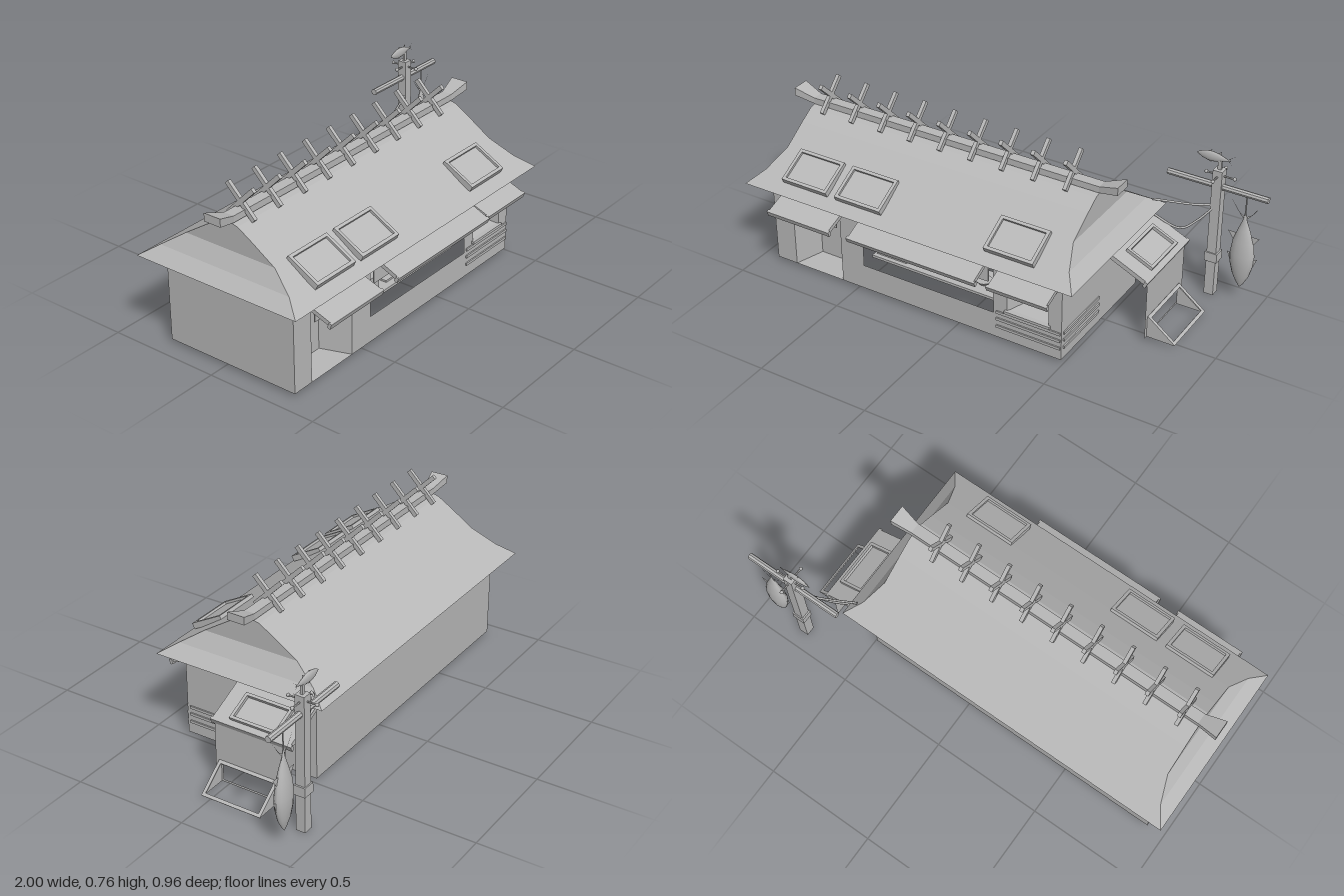
import * as THREE from 'three';

const grey = new THREE.MeshStandardMaterial({ color: 0xb8b8b8, side: THREE.DoubleSide, flatShading: true });
grey.name = 'plain grey';
const smooth = grey.clone();
smooth.flatShading = false;

const V = (x, y, z) => new THREE.Vector3(x, y, z);

function add(parent, name, geo, x = 0, y = 0, z = 0, mat = grey) {
  const m = new THREE.Mesh(geo, mat);
  m.name = name;
  m.position.set(x, y, z);
  parent.add(m);
  return m;
}

// Box given by its low and high limits
function box(parent, name, x0, x1, y0, y1, z0, z1) {
  return add(parent, name, new THREE.BoxGeometry(x1 - x0, y1 - y0, z1 - z0),
    (x0 + x1) / 2, (y0 + y1) / 2, (z0 + z1) / 2);
}

// Skin over a list of four-cornered sections, with optional end caps
function skin(rings, capStart, capEnd) {
  const pos = [];
  const quad = (a, b, c, d) => [a, b, c, a, c, d].forEach(p => pos.push(p.x, p.y, p.z));
  for (let i = 0; i < rings.length - 1; i++)
    for (let j = 0; j < 4; j++) {
      const k = (j + 1) % 4;
      quad(rings[i][j], rings[i][k], rings[i + 1][k], rings[i + 1][j]);
    }
  if (capStart) quad(...[...rings[0]].reverse());
  if (capEnd) quad(...rings[rings.length - 1]);
  const g = new THREE.BufferGeometry();
  g.setAttribute('position', new THREE.Float32BufferAttribute(pos, 3));
  g.computeVertexNormals();
  return g;
}

function polygon(points) {
  return new THREE.Shape(points.map(p => new THREE.Vector2(...p)));
}
const rect = (x0, x1, y0, y1) => [[x0, y0], [x1, y0], [x1, y1], [x0, y1]];

// Rectangular border centred on the origin, rising along +z
function frameGeo(w, h, border, depth) {
  const s = polygon(rect(-w / 2, w / 2, -h / 2, h / 2));
  s.holes.push(polygon(rect(-w / 2 + border, w / 2 - border, -h / 2 + border, h / 2 - border)));
  return new THREE.ExtrudeGeometry(s, { depth, bevelEnabled: false });
}

// Sloping slab from a wall (z0, y0) out to a lip (z1, y1)
function awning(parent, name, x0, x1, z0, y0, z1, y1, t = 0.018) {
  const g = new THREE.Group();
  g.name = name;
  g.position.set((x0 + x1) / 2, (y0 + y1) / 2, (z0 + z1) / 2);
  g.rotation.x = Math.atan2(y0 - y1, z1 - z0);
  const len = Math.hypot(z1 - z0, y1 - y0);
  add(g, name + 'Slab', new THREE.BoxGeometry(x1 - x0, t, len));
  add(g, name + 'Lip', new THREE.BoxGeometry(x1 - x0 + 0.012, t * 1.3, 0.014), 0, -0.003, len / 2 - 0.007);
  parent.add(g);
  return g;
}

function tube(parent, name, points, r) {
  add(parent, name, new THREE.TubeGeometry(new THREE.CatmullRomCurve3(points), 16, r, 6), 0, 0, 0, smooth);
}

// Fish standing nose down, unit length along y
function fish(parent, name, length, wide, thick) {
  const g = new THREE.Group();
  g.name = name;
  const profile = [[0, 0], [0.3, 0.06], [0.68, 0.17], [0.95, 0.32], [1, 0.45], [0.85, 0.62], [0.5, 0.78], [0.16, 0.92], [0.08, 1]];
  const body = add(g, name + 'Body', new THREE.LatheGeometry(profile.map(p => new THREE.Vector2(...p)), 14), 0, 0, 0, smooth);
  body.scale.set(wide, length, thick);
  const fin = (n, pts) => add(g, n, new THREE.ShapeGeometry(polygon(pts.map(([x, y]) => [x * wide, y * length]))));
  fin(name + 'Tail', [[0, 0.95], [0.5, 1.0], [1.2, 1.15], [0.7, 1.03], [0, 0.9], [-0.7, 1.03], [-1.2, 1.15], [-0.5, 1.0]]);
  for (const s of [-1, 1]) {
    fin(name + 'Fin', [[s * 0.75, 0.6], [s * 1.3, 0.72], [s * 0.6, 0.72]]);
    fin(name + 'SmallFin', [[s * 0.9, 0.3], [s * 1.25, 0.44], [s * 0.9, 0.42]]);
  }
  parent.add(g);
  return g;
}

function buildWalls(root) {
  const house = new THREE.Group();
  house.name = 'house';
  root.add(house);
  const L = -0.92, R = 0.49, F = 0.35, B = -0.28, lo = 0.015, hi = 0.44;
  // Front wall with doorway notch, counter opening and window
  const s = polygon([[L, lo], [-0.82, lo], [-0.82, 0.34], [-0.575, 0.34], [-0.575, lo], [R, lo], [R, hi], [L, hi]]);
  s.holes.push(polygon(rect(-0.46, 0.175, 0.13, 0.39)), polygon(rect(0.24, 0.43, 0.16, 0.32)));
  add(house, 'frontWall', new THREE.ShapeGeometry(s), 0, 0, F);
  const back = add(house, 'backWall', new THREE.PlaneGeometry(R - L, hi - lo), (L + R) / 2, (lo + hi) / 2, B);
  back.rotation.y = Math.PI;
  for (const [n, x, a] of [['leftSideWall', R, 1], ['rightSideWall', L, -1]])
    add(house, n, new THREE.PlaneGeometry(F - B, hi - lo), x, (lo + hi) / 2, (F + B) / 2).rotation.y = a * Math.PI / 2;

  // Recesses behind the doorway and the window
  const ring = (x0, x1, y0, y1, z) => [V(x0, y0, z), V(x0, y1, z), V(x1, y1, z), V(x1, y0, z)];
  add(house, 'doorRecess', skin([ring(-0.82, -0.575, lo, 0.34, F), ring(-0.78, -0.62, lo, 0.33, 0.22)], false, true).scale(1, 1, 1));
  add(house, 'windowRecess', skin([ring(0.24, 0.43, 0.16, 0.32, F), ring(0.28, 0.42, 0.17, 0.31, 0.27)], false, true));
  box(house, 'windowSill', 0.23, 0.44, 0.15, 0.162, 0.34, 0.362);

  // Cloth panels
  for (let i = 0; i < 5; i++) box(house, 'counterCurtain', -0.445 + i * 0.121, -0.328 + i * 0.121, 0.275, 0.345, 0.352, 0.357);
  for (let i = 0; i < 3; i++) box(house, 'doorCurtain', -0.805 + i * 0.073, -0.735 + i * 0.073, 0.275, 0.335, 0.352, 0.357);

  // Serving shelf and goods
  box(house, 'servingShelf', -0.46, 0.175, 0.137, 0.149, 0.13, 0.29);
  box(house, 'foodCase', -0.45, -0.3, 0.149, 0.22, 0.17, 0.27);
  box(house, 'jar', -0.295, -0.268, 0.149, 0.185, 0.2, 0.23);
  box(house, 'tray', -0.24, 0.02, 0.149, 0.157, 0.17, 0.26);
  add(house, 'bowl', new THREE.CylinderGeometry(0.035, 0.02, 0.018, 12), 0.05, 0.158, 0.22);

  // Slats wrapped round the corner
  for (const y of [0.139, 0.106, 0.07]) {
    box(house, 'frontSlat', 0.19, 0.486, y - 0.006, y + 0.006, 0.346, 0.356);
    box(house, 'sideSlat', 0.486, 0.496, y - 0.006, y + 0.006, 0.05, 0.335);
  }
  awning(house, 'doorAwning', -0.85, -0.545, 0.35, 0.37, 0.475, 0.325);
  awning(house, 'counterAwning', -0.445, 0.16, 0.35, 0.388, 0.475, 0.332);
  awning(house, 'windowAwning', 0.205, 0.47, 0.35, 0.35, 0.445, 0.312);
}

function buildRoof(root) {
  const roof = new THREE.Group();
  roof.name = 'roof';
  root.add(roof);
  // Hipped skirt rising into a gabled top: height, half depth, end inset
  const levels = [[0.4, 0.395, 0], [0.45, 0.32, 0.055], [0.517, 0.22, 0.095], [0.59, 0.108, 0.095], [0.628, 0.045, 0.095], [0.637, 0.005, 0.095]];
  add(roof, 'roofSkin', skin(levels.map(([y, h, i]) => [
    V(-1 + i, y, 0.035 + h), V(0.575 - i, y, 0.035 + h), V(0.575 - i, y, 0.035 - h), V(-1 + i, y, 0.035 - h)]), false, true));
  // Ridge beam with flared ends
  const sections = [[-0.99, 0.04, 0.66, 0.695], [-0.9, 0.024, 0.637, 0.665], [0.48, 0.024, 0.637, 0.665], [0.57, 0.04, 0.66, 0.695]];
  add(roof, 'ridgeBeam', skin(sections.map(([x, h, y0, y1]) => [
    V(x, y0, 0.035 - h), V(x, y1, 0.035 - h), V(x, y1, 0.035 + h), V(x, y0, 0.035 + h)]), true, true));
  // Crossed poles along the ridge
  for (let i = 0; i < 9; i++)
    for (const s of [-1, 1])
      add(roof, 'crossedPole', new THREE.BoxGeometry(0.016, 0.18, 0.02), -0.83 + i * 0.1475, 0.69, 0.035).rotation.x = s * Math.PI / 4;
  // Roof windows
  for (const x of [-0.718, -0.45, 0.268]) {
    const w = new THREE.Group();
    w.name = 'roofWindow';
    w.position.set(x, 0.474, 0.313);
    w.rotation.x = -Math.PI / 2 + 0.5;
    add(w, 'roofWindowFrame', frameGeo(0.225, 0.16, 0.014, 0.026));
    add(w, 'roofWindowPane', new THREE.BoxGeometry(0.2, 0.135, 0.008), 0, 0, 0.012);
    roof.add(w);
  }
}

function buildSideStall(root) {
  const stall = new THREE.Group();
  stall.name = 'sideStall';
  root.add(stall);
  // Front panel with low hatch
  const s = polygon(rect(-0.05, 0.28, 0.015, 0.285));
  s.holes.push(polygon(rect(-0.015, 0.235, 0.025, 0.105)));
  add(stall, 'stallPanel', new THREE.ShapeGeometry(s), 0.705, 0, 0).rotation.y = Math.PI / 2;
  // Hatch: two wedge cheeks and a sloping frame
  for (const z of [0.024, -0.245])
    add(stall, 'hatchCheek', new THREE.ExtrudeGeometry(polygon([[0.705, 0.015], [0.83, 0.015], [0.705, 0.112]]), { depth: 0.008, bevelEnabled: false }), 0, 0, z);
  const holder = new THREE.Group();
  holder.name = 'hatch';
  holder.position.set(0.767, 0.062, -0.107);
  holder.rotation.y = Math.PI / 2;
  add(holder, 'hatchFrame', frameGeo(0.278, 0.158, 0.014, 0.005)).rotation.x = -0.91;
  stall.add(holder);
  // Sloping canopy with a window
  const side = new THREE.Group();
  side.name = 'stallCanopyHolder';
  side.rotation.y = Math.PI / 2;
  stall.add(side);
  const canopy = awning(side, 'stallCanopy', -0.06, 0.305, 0.49, 0.385, 0.71, 0.285, 0.02);
  const f = add(canopy, 'canopyWindowFrame', frameGeo(0.22, 0.13, 0.013, 0.014), 0, 0.01, 0.03);
  f.rotation.x = -Math.PI / 2;
}

function buildPole(root) {
  const pole = new THREE.Group();
  pole.name = 'fishPole';
  pole.position.set(0.778, 0, -0.41);
  root.add(pole);
  box(pole, 'post', -0.021, 0.021, 0, 0.6, -0.021, 0.021);
  box(pole, 'postCollar', -0.028, 0.028, 0.165, 0.208, -0.026, 0.026);
  box(pole, 'postTip', -0.008, 0.008, 0.6, 0.64, -0.005, 0.005);
  add(pole, 'crossbar', new THREE.CylinderGeometry(0.014, 0.014, 0.45, 8), -0.003, 0.522, 0).rotation.z = Math.PI / 2;
  // Pegs with knobs
  add(pole, 'longPeg', new THREE.CylinderGeometry(0.004, 0.004, 0.13, 6), 0, 0.573, 0).rotation.x = Math.PI / 2;
  add(pole, 'shortPeg', new THREE.CylinderGeometry(0.004, 0.004, 0.13, 6), 0.005, 0.573, 0).rotation.z = Math.PI / 2;
  for (const s of [-1, 1]) {
    add(pole, 'pegKnob', new THREE.SphereGeometry(0.008, 8, 6), 0, 0.573, s * 0.063, smooth);
    add(pole, 'pegKnob', new THREE.SphereGeometry(0.008, 8, 6), 0.005 + s * 0.063, 0.573, 0, smooth);
  }
  // Hanging fish on its cord
  fish(pole, 'hangingFish', 0.36, 0.054, 0.028).position.set(0.128, 0.07, 0);
  add(pole, 'cord', new THREE.CylinderGeometry(0.003, 0.003, 0.1, 6), 0.128, 0.465, 0);
  // Small fish on top, nose towards the house
  const top = fish(pole, 'topFish', 0.15, 0.023, 0.009);
  top.position.set(-0.105, 0.65, 0);
  top.rotation.z = -Math.PI / 2;
  // Cables to the house
  tube(root, 'upperCable', [V(0.775, 0.435, -0.4), V(0.7, 0.425, -0.375), V(0.54, 0.44, -0.3)], 0.005);
  tube(root, 'lowerCable', [V(0.775, 0.43, -0.4), V(0.72, 0.365, -0.36), V(0.66, 0.325, -0.325), V(0.54, 0.385, -0.285)], 0.005);
}

export function createModel() {
  const root = new THREE.Group();
  root.name = 'fishShop';
  buildWalls(root);
  buildRoof(root);
  buildSideStall(root);
  buildPole(root);
  return root;
}
